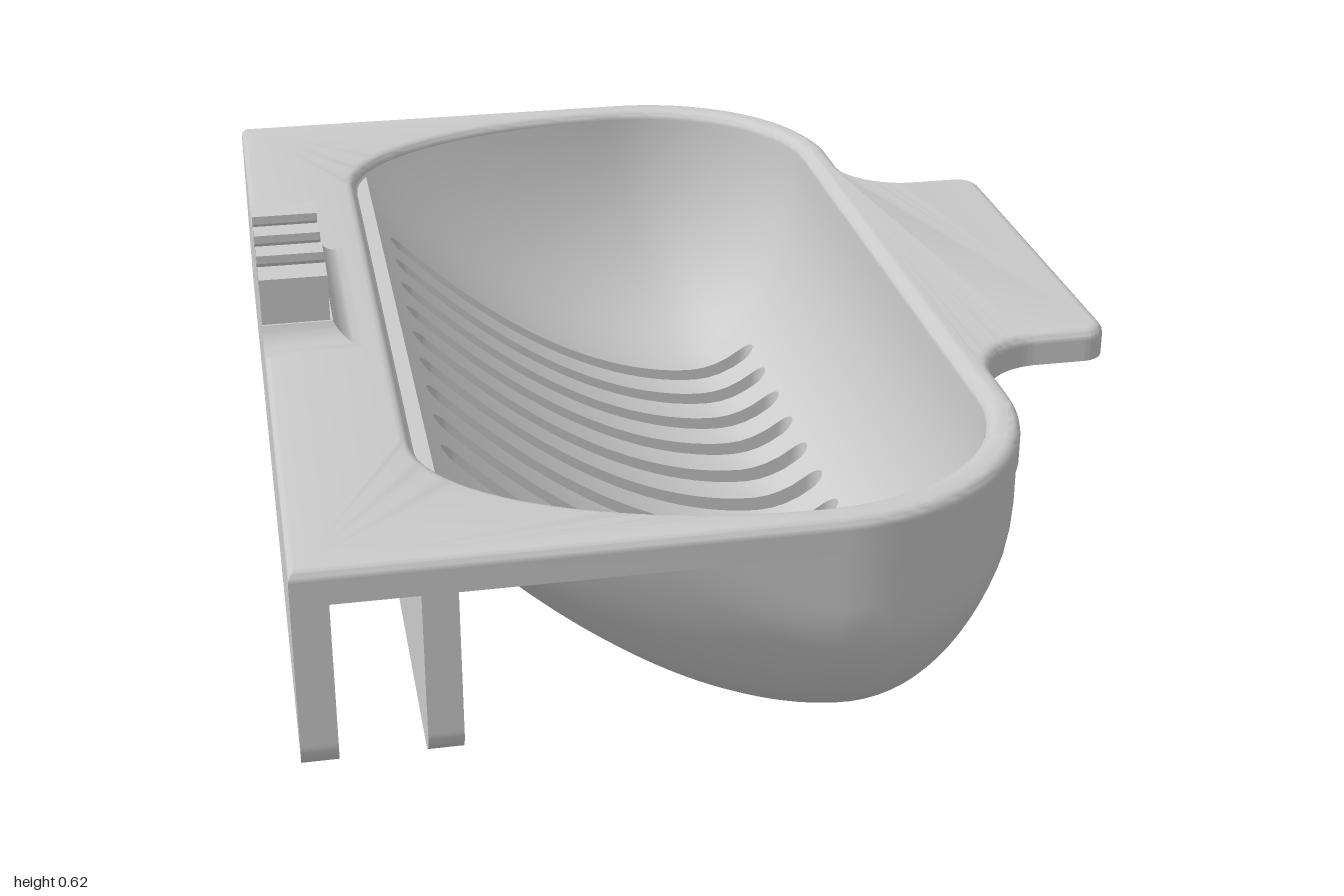
import * as THREE from 'three';
import { toCreasedNormals } from 'three/addons/utils/BufferGeometryUtils.js';

const PI = Math.PI, H = PI / 2;
const RIM_Y = 0.485, STRAIGHT = 0.6;   // bowl rim height, half length of its straight part
const LOW_X = 0.17;                    // x of the lowest line of the bowl
const SLOT = { x0: -0.47, x1: 0.30, r: 0.025, first: -0.497, pitch: 0.12, count: 9 };

const INNER = { left: -0.53, a: 0.26, base: 0.05, k: 0.84, cx: 0.07, endZ: 0.345, pow: 1 };
const OUTER = { left: -0.588, a: 0.315, base: 0, k: 0.81, cx: 0.09, endZ: 0.42, pow: 0.9 };

// Bowl height at x: a long slope on one side, a quarter ellipse on the other
function heightAt(s, x) {
  const d = x - LOW_X;
  if (d < 0) return Math.min(RIM_Y, s.base + s.k * Math.pow(-d, 1.85));
  return RIM_Y - (RIM_Y - s.base) * Math.sqrt(Math.max(0, 1 - (d / s.a) ** 2));
}

// Columns of x values; both skins share them along the slots
function columns(s) {
  const xs = [], { x0, x1, r } = SLOT;
  for (let i = 0; i < 4; i++) xs.push(s.left + (x0 - s.left) * i / 4);
  for (let i = 0; i < 6; i++) xs.push(x0 + r * (1 - Math.cos(H * i / 6)));
  for (let i = 0; i <= 28; i++) xs.push(x0 + r + (x1 - x0 - 2 * r) * i / 28);
  for (let i = 1; i <= 6; i++) xs.push(x1 - r + r * Math.sin(H * i / 6));
  const t0 = Math.asin((x1 - LOW_X) / s.a);
  for (let i = 1; i <= 14; i++) xs.push(LOW_X + s.a * Math.sin(t0 + (H - t0) * i / 14));
  return xs;
}

// Half width of a slot at x
function slotHalf(x) {
  const { x0, x1, r } = SLOT;
  if (x <= x0 + 1e-6 || x >= x1 - 1e-6) return 0;
  const d = Math.max(0, x0 + r - x, x - (x1 - r));
  return Math.sqrt(Math.max(0, r * r - d * d));
}

// Point on a rounded end, t from 0 (straight part) to 1 (tip)
function endPoint(s, x, t, side) {
  const c = Math.pow(Math.max(0, Math.cos(H * t)), s.pow);
  const e = Math.pow(Math.sin(H * t), s.pow);
  let px = s.cx + (x - s.cx) * c, pz = STRAIGHT + s.endZ * e;
  const py = RIM_Y - (RIM_Y - heightAt(s, x)) * c;
  if (s === OUTER) {                   // trim to the rim outline
    pz = Math.min(pz, 0.997);
    const dx = px - 0.09, dz = pz - 0.605, len = Math.hypot(dx, dz);
    if (dx > 0 && dz > 0 && len > 0.392) {
      px = 0.09 + dx * 0.392 / len;
      pz = 0.605 + dz * 0.392 / len;
    }
  }
  return [px, py, side * pz];
}

function bowlGeometry() {
  const pos = [];
  const quad = (a, b, c, d, flip) =>
    pos.push(...(flip ? [a, d, c, a, c, b] : [a, b, c, a, c, d]).flat());
  const ins = columns(INNER), outs = columns(OUTER), n = ins.length - 1;
  const skins = [[INNER, ins, false], [OUTER, outs, true]];

  // strip of both skins between two z edges, which may vary with x
  const strip = (zA, zB) => {
    for (const [s, xs, flip] of skins) for (let i = 0; i < n; i++) {
      const p = (x, z) => [x, heightAt(s, x), z(x)];
      quad(p(xs[i], zA), p(xs[i], zB), p(xs[i + 1], zB), p(xs[i + 1], zA), flip);
    }
  };
  const at = z => () => z;
  const { first, pitch, count } = SLOT;
  strip(at(-STRAIGHT), at(first - pitch / 2));
  strip(at(first + pitch * (count - 0.5)), at(STRAIGHT));
  for (let j = 0; j < count; j++) {
    const c = first + pitch * j;
    const lo = x => c - slotHalf(x), hi = x => c + slotHalf(x);
    strip(at(c - pitch / 2), lo);
    strip(hi, at(c + pitch / 2));
    // slot walls
    for (let i = 0; i < n; i++) {
      const x = ins[i], x2 = ins[i + 1];
      if (slotHalf(x) + slotHalf(x2) === 0) continue;
      for (const [z, flip] of [[lo, false], [hi, true]])
        quad([x, heightAt(OUTER, x), z(x)], [x2, heightAt(OUTER, x2), z(x2)],
          [x2, heightAt(INNER, x2), z(x2)], [x, heightAt(INNER, x), z(x)], flip);
    }
  }
  // rounded ends
  const m = 18;
  for (const side of [-1, 1]) for (const [s, xs, flip] of skins)
    for (let j = 0; j < m; j++) for (let i = 0; i < n; i++) {
      const p = (a, b) => endPoint(s, xs[a], b / m, side);
      quad(p(i, j), p(i, j + 1), p(i + 1, j + 1), p(i + 1, j), flip !== (side < 0));
    }
  const g = new THREE.BufferGeometry();
  g.setAttribute('position', new THREE.Float32BufferAttribute(pos, 3));
  return toCreasedNormals(g, 0.6);
}

// Rim plate outline in x and z, with the grip tab and the bowl opening
function plateShape() {
  const s = new THREE.Shape();
  s.moveTo(-0.75, -1);
  s.lineTo(0.09, -1);
  s.absarc(0.09, -0.605, 0.395, -H, 0, false);
  s.absarc(0.61, -0.525, 0.125, PI, H, true);
  s.absarc(0.70, -0.355, 0.045, -H, 0, false);
  s.absarc(0.70, 0.355, 0.045, 0, H, false);
  s.absarc(0.61, 0.525, 0.125, -H, -PI, true);
  s.absarc(0.09, 0.605, 0.395, 0, H, false);
  s.lineTo(-0.75, 1);
  s.closePath();
  const h = new THREE.Path(), { cx, endZ } = INNER;
  const rl = cx - INNER.left, rr = LOW_X + INNER.a - cx;
  h.moveTo(cx + rr, -STRAIGHT);
  h.lineTo(cx + rr, STRAIGHT);
  h.absellipse(cx, STRAIGHT, rr, endZ, 0, H, false);
  h.absellipse(cx, STRAIGHT, rl, endZ, H, PI, false);
  h.absellipse(cx, -STRAIGHT, rl, endZ, PI, 3 * H, false);
  h.absellipse(cx, -STRAIGHT, rr, endZ, 3 * H, 4 * H, false);
  s.holes.push(h);
  return s;
}

// Extrude a (z, y) shape along x, ending at xMax
function extrudeX(shape, width, xMax) {
  return new THREE.ExtrudeGeometry(shape, { depth: width, bevelEnabled: false, curveSegments: 10 })
    .rotateY(-H).translate(xMax, 0, 0);
}

export function createModel() {
  const model = new THREE.Group();
  const mat = new THREE.MeshStandardMaterial({ color: 0xcccccc, side: THREE.DoubleSide });
  const add = (name, geo) => {
    const mesh = new THREE.Mesh(geo, mat);
    mesh.name = name;
    model.add(mesh);
  };

  add('slottedBowl', bowlGeometry());

  // Rim plate: square lower edge, rounded upper edge
  const plate = plateShape();
  add('rimPlate', toCreasedNormals(new THREE.ExtrudeGeometry(plate, {
    depth: 0.04, bevelEnabled: false, curveSegments: 18,
  }).rotateX(H).translate(0, 0.485, 0), 0.6));
  add('roundedRim', toCreasedNormals(new THREE.ExtrudeGeometry(plate, {
    depth: 0.004, bevelThickness: 0.02, bevelSize: 0.02, bevelOffset: -0.02, bevelSegments: 4, curveSegments: 18,
  }).rotateX(H).translate(0, 0.485, 0), 0.6));

  // Two hanging flanges with rounded lower corners
  const flange = new THREE.Shape();
  flange.moveTo(-1, 0.48);
  flange.lineTo(-1, 0.2);
  flange.absarc(-0.95, 0.2, 0.05, PI, 3 * H, false);
  flange.absarc(0.95, 0.2, 0.05, -H, 0, false);
  flange.lineTo(1, 0.48);
  flange.closePath();
  add('outerFlange', extrudeX(flange, 0.058, -0.692));
  add('innerFlange', extrudeX(flange, 0.056, -0.5));

  // Notched holder on the back edge
  const midZ = -0.011, halfZ = 0.185, topY = 0.625;
  const comb = new THREE.Shape();
  comb.moveTo(midZ - halfZ, 0.5);
  comb.lineTo(midZ + halfZ, 0.5);
  comb.lineTo(midZ + halfZ, topY);
  for (const c of [0.098, 0, -0.098]) {
    const z = midZ + c;
    comb.lineTo(z + 0.025, topY);
    comb.lineTo(z + 0.025, 0.61);
    comb.lineTo(z + 0.03, 0.598);
    comb.absarc(z, 0.57, 0.03, 0, -PI, true);
    comb.lineTo(z - 0.03, 0.598);
    comb.lineTo(z - 0.025, 0.61);
    comb.lineTo(z - 0.025, topY);
  }
  comb.lineTo(midZ - halfZ, topY);
  comb.closePath();
  add('notchedHolder', extrudeX(comb, 0.12, -0.63));

  // Flared foot of the holder
  const foot = new THREE.BoxGeometry(0.12, 0.037, 2 * halfZ, 1, 8, 1).translate(-0.69, 0.5215, midZ);
  const p = foot.attributes.position, r = 0.06;
  for (let i = 0; i < p.count; i++) {
    const up = Math.max(0, p.getY(i) - 0.503);
    const d = r - Math.sqrt(r * r - (r - up) ** 2);
    if (p.getX(i) > -0.69) p.setX(i, p.getX(i) + d);
    p.setZ(i, p.getZ(i) + Math.sign(p.getZ(i) - midZ) * d);
  }
  add('holderFoot', toCreasedNormals(foot, 0.6));

  return model;
}
